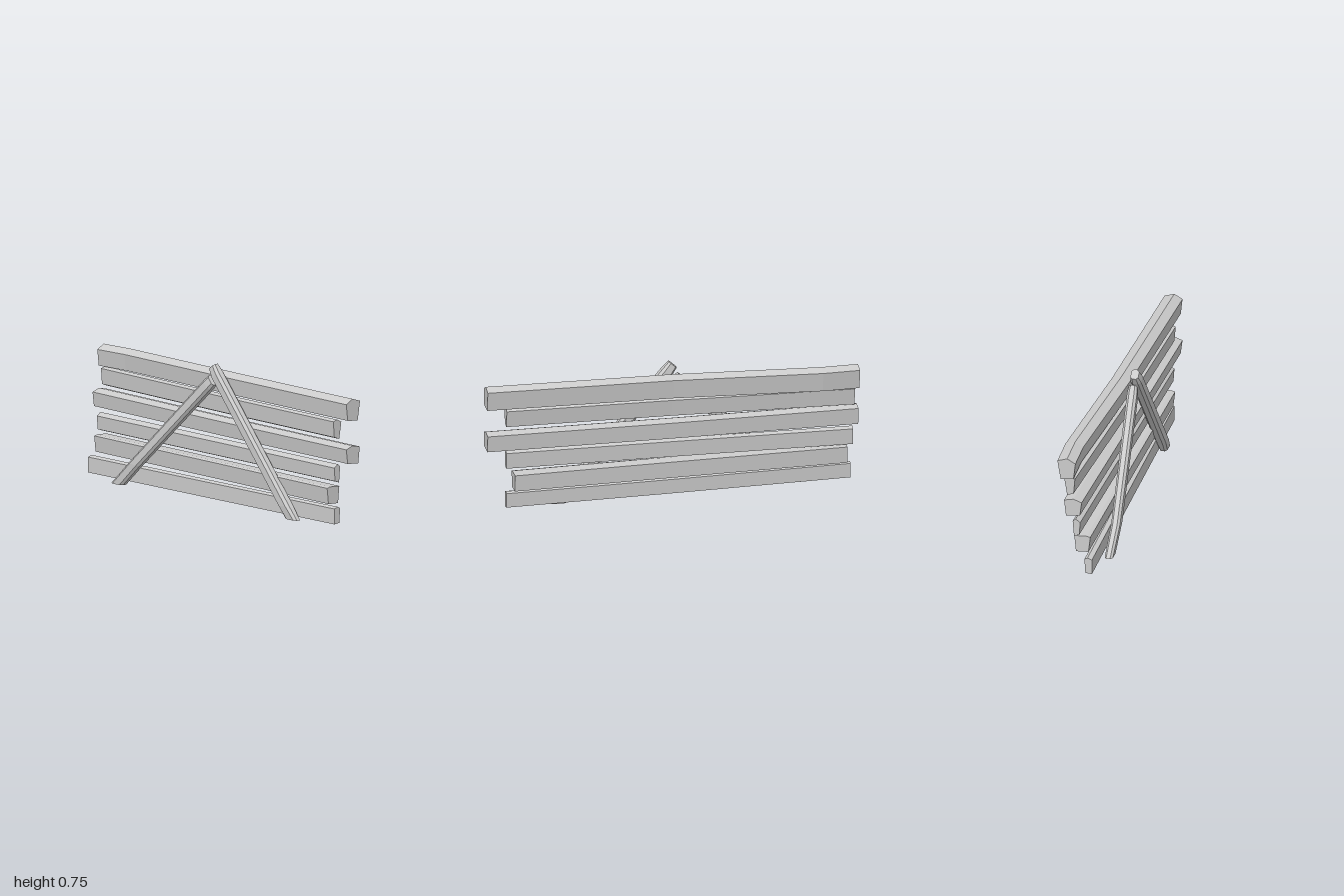
import * as THREE from 'three';

const material = new THREE.MeshStandardMaterial({ color: 0xcccccc, flatShading: true });

// Solid through a list of equal-sized rings, closed at both ends
function loft(name, rings) {
  const pos = [];
  const tri = (...pts) => pts.forEach((p) => pos.push(...p));
  const n = rings[0].length;
  for (let i = 0; i < rings.length - 1; i++) {
    for (let j = 0; j < n; j++) {
      const k = (j + 1) % n;
      const a = rings[i][j], b = rings[i][k], c = rings[i + 1][k], d = rings[i + 1][j];
      tri(a, d, c);
      tri(a, c, b);
    }
  }
  const first = rings[0], last = rings[rings.length - 1];
  for (let j = 1; j < n - 1; j++) {
    tri(first[0], first[j], first[j + 1]);
    tri(last[0], last[j + 1], last[j]);
  }
  const geometry = new THREE.BufferGeometry();
  geometry.setAttribute('position', new THREE.Float32BufferAttribute(pos, 3));
  geometry.computeVertexNormals();
  const mesh = new THREE.Mesh(geometry, material);
  mesh.name = name;
  return mesh;
}

// Planks: end section as [z, y] corners, and stations [x, shift in z, shift in y]
const planks = [
  { section: [[0.02, 0.1], [-0.005, 0.108], [-0.021, 0.1], [-0.016, 0.02], [0.02, 0.017]],
    stations: [[-0.98, 0.05, 0.002], [0, 0.022, 0], [0.89, 0, 0]] },
  { section: [[0.035, 0.207], [0.015, 0.212], [-0.052, 0.208], [-0.043, 0.117], [0.025, 0.121]],
    stations: [[-0.95, 0.018, 0.011], [0, 0.008, 0.006], [0.85, 0, 0]] },
  { section: [[0.02, 0.32], [-0.005, 0.338], [-0.021, 0.325], [-0.014, 0.238], [0.015, 0.248]],
    stations: [[-0.98, -0.014, -0.006], [0, -0.006, -0.002], [0.89, 0, 0]] },
  { section: [[0.035, 0.437], [-0.01, 0.453], [-0.061, 0.442], [-0.05, 0.352], [0.025, 0.36]],
    stations: [[-1, -0.016, 0.005], [0, -0.008, 0], [1, 0, 0]] },
  { section: [[0.027, 0.57], [0, 0.578], [-0.03, 0.563], [-0.015, 0.472], [0.02, 0.485]],
    stations: [[-0.98, -0.05, -0.004], [0, -0.015, -0.002], [0.89, 0, 0]] },
  { section: [[0.035, 0.68], [-0.01, 0.705], [-0.063, 0.688], [-0.046, 0.583], [0.025, 0.592]],
    stations: [[-1, -0.05, -0.014], [-0.8, -0.06, -0.012], [0, -0.018, -0.003], [1, 0, 0]] },
];

// Brace section with chamfered corners, as [across, z] factors
const chamfered = [[-1, -0.5], [-0.6, -1], [0.6, -1], [1, -0.5], [1, 0.5], [0.6, 1], [-0.6, 1], [-1, 0.5]];

// Braces: stations from foot to head as [x, y, z, across x, across y, half depth]
const braces = {
  leftBrace: [
    [0.595, 0.003, 0.047, 0.045, 0, 0.021],
    [0.54, 0.07, 0.047, 0.045, 0, 0.028],
    [0.01, 0.69, 0.049, 0.025, 0.02, 0.029],
    [-0.022, 0.731, 0.048, 0.021, 0.018, 0.021],
  ],
  rightBrace: [
    [-0.71, 0.003, 0.097, 0.045, 0, 0.022],
    [-0.575, 0.13, 0.097, 0.04, -0.005, 0.024],
    [-0.06, 0.63, 0.046, 0.021, -0.025, 0.027],
    [-0.033, 0.657, 0.044, 0.018, -0.024, 0.022],
  ],
};

export function createModel() {
  const model = new THREE.Group();
  model.name = 'plankBarrier';

  planks.forEach(({ section, stations }, i) => {
    const rings = stations.map(([x, dz, dy]) => section.map(([z, y]) => [x, y + dy, z + dz]));
    model.add(loft(`plank${i + 1}`, rings));
  });

  for (const [name, stations] of Object.entries(braces)) {
    const rings = stations.map(([x, y, z, ax, ay, h]) =>
      chamfered.map(([s, t]) => [x + s * ax, y + s * ay, z + t * h]));
    model.add(loft(name, rings));
  }
  return model;
}
